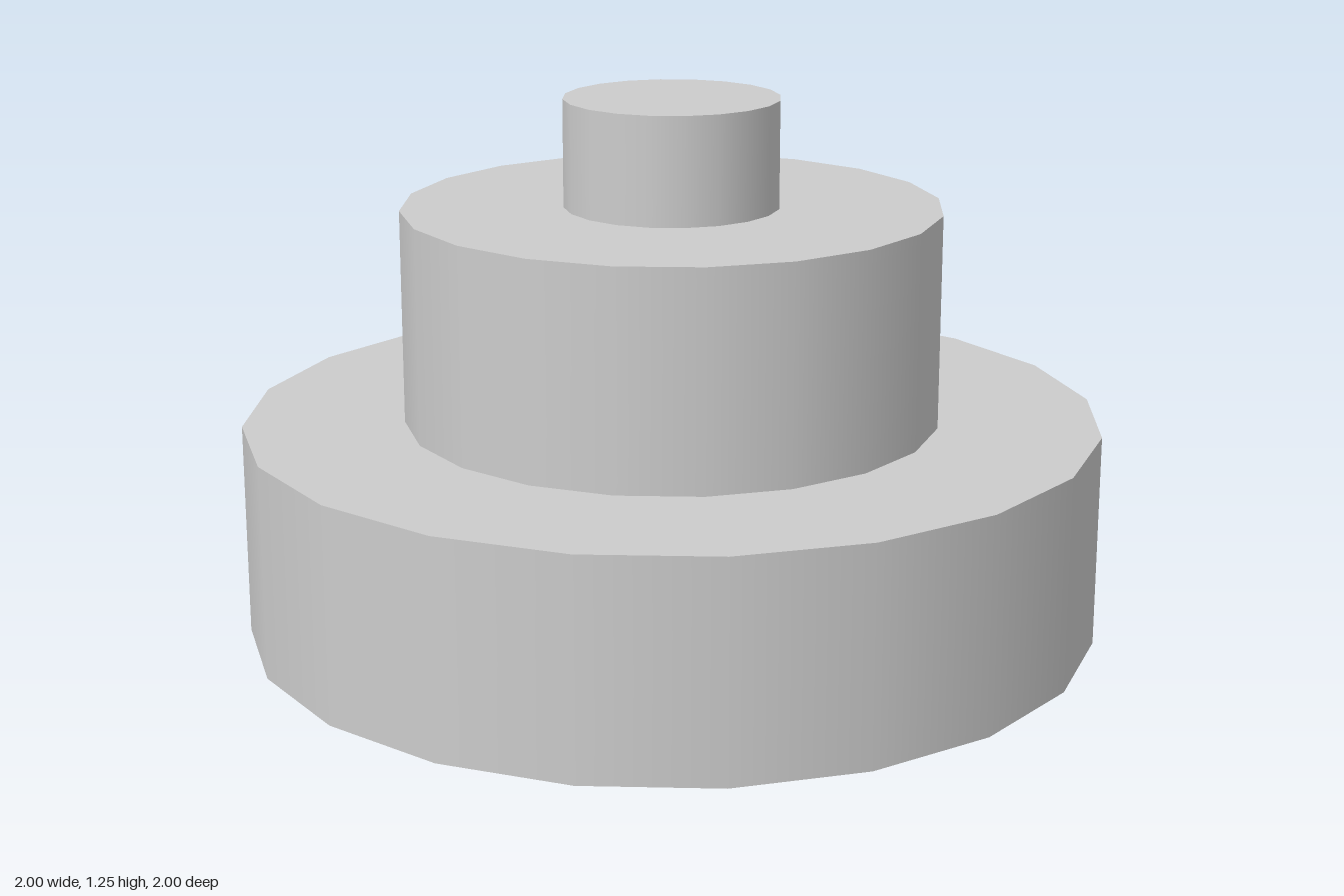
import * as THREE from 'three';

const SIDES = 20;

export function createModel() {
  const group = new THREE.Group();
  group.name = 'steppedTiers';
  const material = new THREE.MeshStandardMaterial({ color: 0xcccccc });

  // Round tiers, stacked from the ground up
  const tiers = [
    { name: 'baseTier', radius: 1, height: 0.5 },
    { name: 'middleTier', radius: 0.625, height: 0.5 },
    { name: 'topKnob', radius: 0.25, height: 0.25 },
  ];

  let y = 0;
  for (const { name, radius, height } of tiers) {
    const tier = new THREE.Mesh(new THREE.CylinderGeometry(radius, radius, height, SIDES), material);
    tier.name = name;
    tier.position.y = y + height / 2;
    group.add(tier);
    y += height;
  }
  return group;
}
